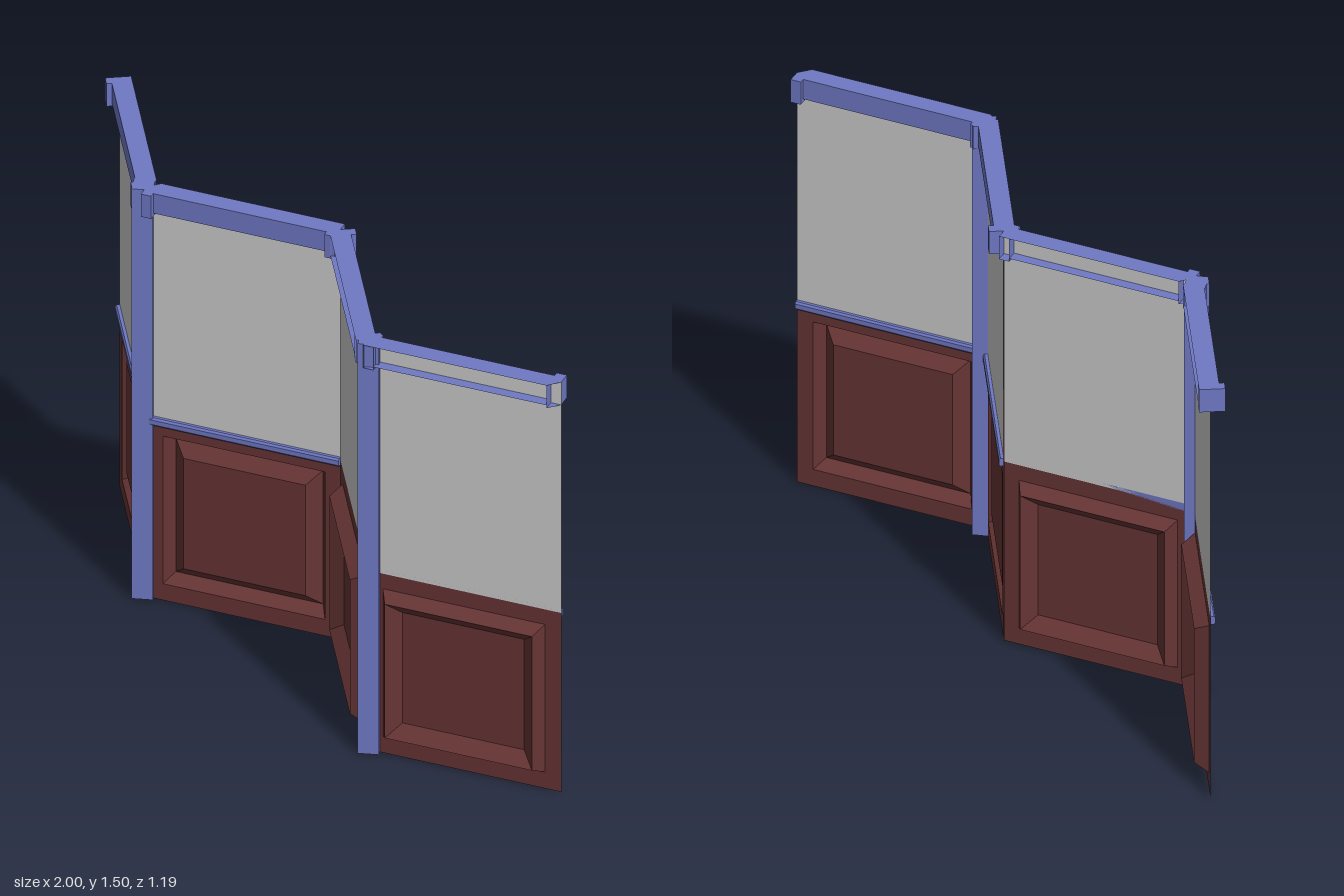
import * as THREE from 'three';

const L = 0.653;        // length of one wall section
const H = 1.5;          // wall height
const DADO = 0.655;     // top of the wood panelling

const mat = (color) => new THREE.MeshStandardMaterial({ color, side: THREE.DoubleSide });

// Flat-shaded geometry from a list of four-cornered faces
function quadGeometry(quads) {
  const pos = quads.flatMap(([a, b, c, d]) => [a, b, c, a, c, d].flat());
  const g = new THREE.BufferGeometry();
  g.setAttribute('position', new THREE.Float32BufferAttribute(pos, 3));
  g.computeVertexNormals();
  return g;
}

// Rectangles joined edge to edge, the last one closed
function steppedPanel(rects) {
  const loops = rects.map(([x0, x1, y0, y1, z]) =>
    [[x0, y0, z], [x1, y0, z], [x1, y1, z], [x0, y1, z]]);
  const quads = [loops[loops.length - 1]];
  for (let i = 0; i + 1 < loops.length; i++) {
    for (let k = 0; k < 4; k++) {
      const n = (k + 1) % 4;
      quads.push([loops[i][k], loops[i][n], loops[i + 1][n], loops[i + 1][k]]);
    }
  }
  return quadGeometry(quads);
}

// Hollow four-cornered trim with top and bottom, open between its last and first corner
function openTrim(points, y0, y1) {
  const at = (y) => points.map(([x, z]) => [x, y, z]);
  const lo = at(y0), hi = at(y1);
  const quads = [hi, [...lo].reverse()];
  for (let i = 0; i < 3; i++) quads.push([lo[i], lo[i + 1], hi[i + 1], hi[i]]);
  return quadGeometry(quads);
}

export function createModel() {
  const model = new THREE.Group();
  model.name = 'foldedWall';
  const plaster = mat(0xcccccc), wood = mat(0x663434), paint = mat(0x6f78c4);

  const add = (parent, name, geometry, material) => {
    const mesh = new THREE.Mesh(geometry, material);
    mesh.name = name;
    parent.add(mesh);
    return mesh;
  };

  // One section: runs along +x from its origin, finished side towards +z
  function wallSection(name, x, z, angle, mitreEnd) {
    const g = new THREE.Group();
    g.name = name;
    g.position.set(x, 0, z);
    g.rotation.y = angle;
    model.add(g);

    // Plain upper wall
    const upper = new THREE.PlaneGeometry(L, H - DADO);
    upper.translate(L / 2, (H + DADO) / 2, 0);
    add(g, 'upperWall', upper, plaster);

    // Wood panelling: frame, sunken groove, raised field
    const inset = (d, z) => [0.055 + d, L - 0.052 - d, 0.06 + d, 0.6 - d, z];
    add(g, 'woodPanel', steppedPanel([
      [0, L, 0, DADO, 0], inset(0, 0), inset(0.025, -0.045), inset(0.068, -0.005),
    ]), wood);

    // Chair rail with bevelled front
    const rail = new THREE.Shape([[0, 0.638], [0.01, 0.638], [0.015, 0.644],
      [0.015, 0.66], [0.01, 0.667], [0, 0.667]].map((p) => new THREE.Vector2(...p)));
    const railGeo = new THREE.ExtrudeGeometry(rail, { depth: L, bevelEnabled: false });
    railGeo.rotateY(-Math.PI / 2);
    railGeo.scale(-1, 1, 1);
    // mirror back into place: shape x becomes depth, extrusion becomes length
    add(g, 'chairRail', railGeo, paint);

    // Crown trim, hollow behind, with a block at each end
    const b = 0.035, back = -0.036;
    add(g, 'crownTrim', openTrim(
      [[b, back], [b, 0.029], [L - b, 0.029], [L - b, back]], H - 0.072, H), paint);
    const block = (mirror, mitred) => {
      const pts = [[b, back], [b, 0.046], [0, 0.046], [0, mitred ? 0 : back]];
      return openTrim(pts.map(([px, pz]) => [mirror ? L - px : px, pz]), H - 0.083, H);
    };
    add(g, 'crownBlockStart', block(false, !mitreEnd), paint);
    add(g, 'crownBlockEnd', block(true, mitreEnd), paint);
  }

  const turn = Math.PI / 3;
  wallSection('rearAngledSection', -0.961, -0.578, -turn, true);
  wallSection('middleStraightSection', -0.635, -0.013, 0, false);
  wallSection('middleAngledSection', 0.345, 0.552, Math.PI - turn, true);
  wallSection('frontStraightSection', 0.998, 0.552, Math.PI, false);

  // Full-height square posts at two of the corners
  for (const [name, x, z] of [['rightPost', -0.65, -0.025], ['leftPost', 0.35, 0.545]]) {
    const post = add(model, name, new THREE.BoxGeometry(0.067, H, 0.067), paint);
    post.position.set(x, H / 2, z);
    post.rotation.y = Math.PI / 12;
  }
  return model;
}
